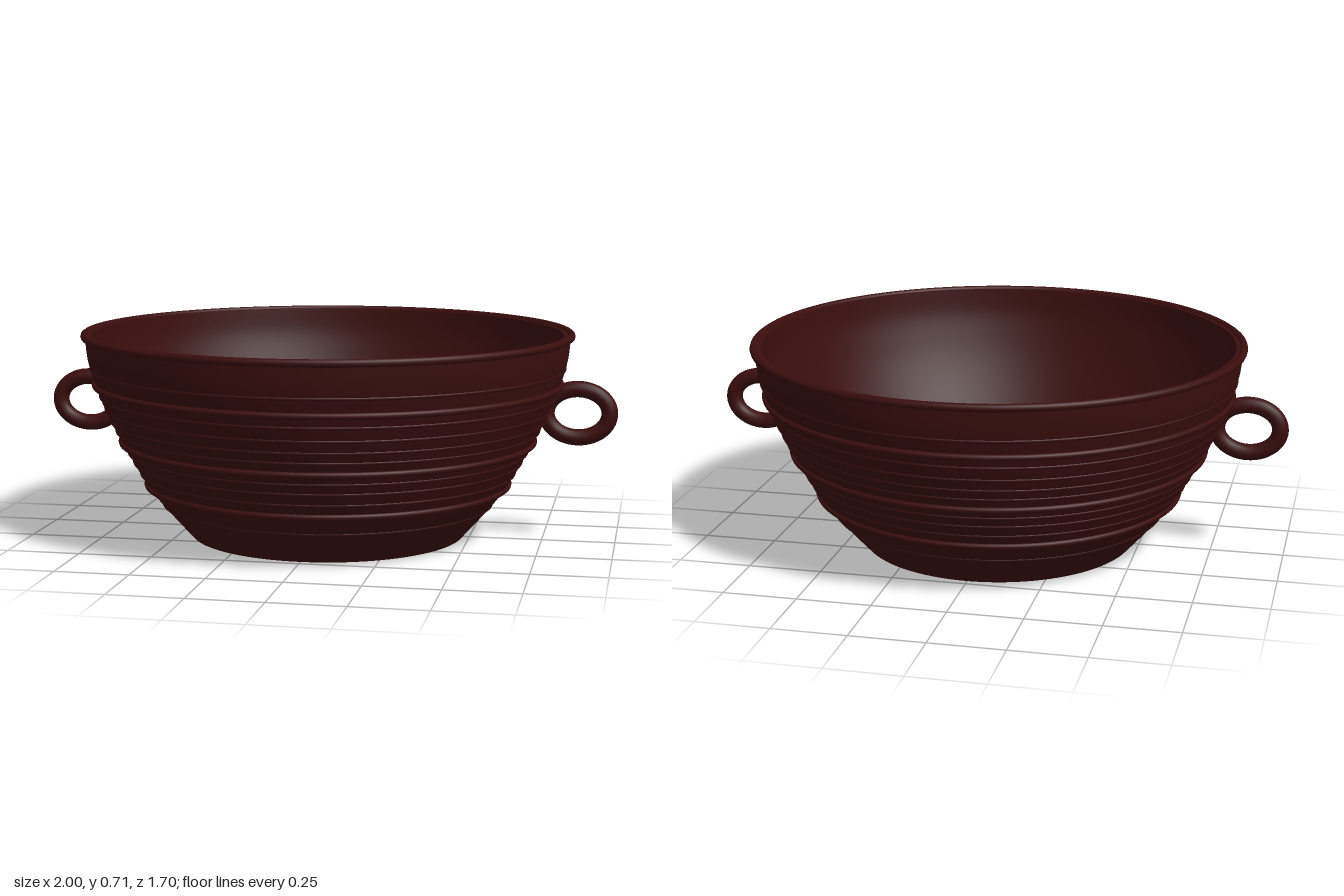
import * as THREE from 'three';

const SEGMENTS = 96;

export function createModel() {
  const model = new THREE.Group();
  const maroon = new THREE.MeshStandardMaterial({ color: 0x3b0e0e });
  maroon.name = 'dark maroon glaze';

  const add = (name, geometry) => {
    const mesh = new THREE.Mesh(geometry, maroon);
    mesh.name = name;
    model.add(mesh);
    return mesh;
  };
  const lathe = (name, points) => add(name, new THREE.LatheGeometry(points, SEGMENTS));
  const v = (x, y) => new THREE.Vector2(x, y);

  // Curved outer profile of the bowl
  const profile = new THREE.SplineCurve([
    v(0.475, 0), v(0.555, 0.09), v(0.628, 0.183), v(0.714, 0.335),
    v(0.768, 0.445), v(0.802, 0.535), v(0.826, 0.62), v(0.835, 0.705),
  ]);
  const outer = profile.getPoints(36);
  const radiusAt = (y) => {
    const i = Math.max(1, outer.findIndex((p) => p.y >= y));
    const a = outer[i - 1], b = outer[i];
    return a.x + ((b.x - a.x) * (y - a.y)) / (b.y - a.y);
  };

  // Bowl shell: separate lathes keep the foot and floor edges sharp
  const wall = 0.024, floorY = 0.015;
  lathe('outerWall', outer);
  lathe('base', [v(0, 0), v(0.475, 0)]);
  const inner = outer.filter((p) => p.y > floorY + 0.01).map((p) => v(p.x - wall, p.y));
  inner.unshift(v(0.458, floorY));
  lathe('innerWall', inner.reverse());
  lathe('floor', [v(0.458, floorY), v(0, floorY)]);
  lathe('rimTop', [v(0.835, 0.705), v(0.811, 0.705)]);

  // Horizontal rings: rim, raised bands and fine ribs
  const ring = (name, radius, y, tube) => {
    const mesh = add(name, new THREE.TorusGeometry(radius, tube, 10, SEGMENTS));
    mesh.rotation.x = Math.PI / 2;
    mesh.position.y = y;
  };
  ring('rim', 0.837, 0.702, 0.013);
  for (const y of [0.183, 0.335, 0.535]) ring('raisedBand', radiusAt(y) + 0.002, y, 0.011);
  for (const y of [0.115, 0.225, 0.265, 0.3, 0.375, 0.41, 0.45, 0.495, 0.59]) {
    ring('fineRib', radiusAt(y) - 0.003, y, 0.006);
  }

  // Oval ring handles on both sides
  const oval = [];
  for (let i = 0; i < 24; i++) {
    const a = (i / 24) * Math.PI * 2;
    oval.push(new THREE.Vector3(0.107 * Math.cos(a), 0.083 * Math.sin(a), 0));
  }
  const path = new THREE.CatmullRomCurve3(oval, true);
  const handle = new THREE.TubeGeometry(path, 48, 0.028, 16, true);
  for (const [name, side] of [['leftHandle', 1], ['rightHandle', -1]]) {
    add(name, handle).position.set(side * 0.865, 0.445, 0);
  }
  return model;
}
